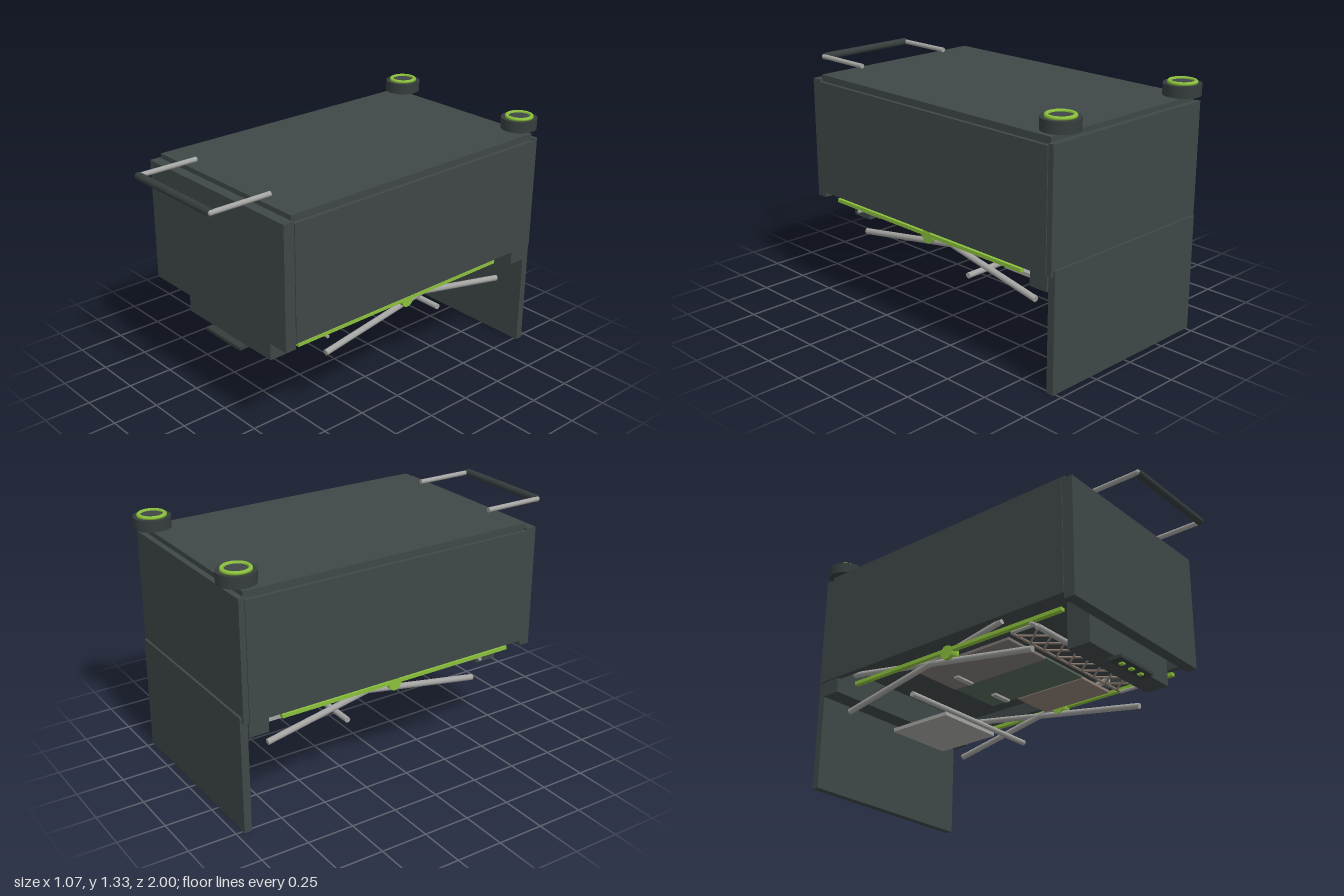
import * as THREE from 'three';

export function createModel() {
  const model = new THREE.Group();
  const paint = (name, color) => {
    const m = new THREE.MeshStandardMaterial({ color });
    m.name = name;
    return m;
  };
  const shellGrey = paint('shell dark grey', 0x3f4747);
  const darkRubber = paint('rubber dark', 0x363d3d);
  const steel = paint('steel grey', 0xa4a4a2);
  const green = paint('accent green', 0x8bc03c);
  const brown = paint('panel brown', 0x8f8076);
  const darkGreen = paint('panel dark green', 0x56655a);
  const taupe = paint('panel taupe', 0x7d7774);

  const add = (name, geometry, material, x = 0, y = 0, z = 0) => {
    const mesh = new THREE.Mesh(geometry, material);
    mesh.name = name;
    mesh.position.set(x, y, z);
    model.add(mesh);
    return mesh;
  };
  // Box given by its limits on each axis
  const block = (name, mat, x0, x1, y0, y1, z0, z1) =>
    add(name, new THREE.BoxGeometry(x1 - x0, y1 - y0, z1 - z0), mat,
      (x0 + x1) / 2, (y0 + y1) / 2, (z0 + z1) / 2);
  // Round rod between two points
  const rod = (name, mat, a, b, r, sides = 14) => {
    const p = new THREE.Vector3(...a), q = new THREE.Vector3(...b);
    const d = q.clone().sub(p);
    const mesh = add(name, new THREE.CylinderGeometry(r, r, d.length(), sides), mat);
    mesh.position.copy(p).add(q).multiplyScalar(0.5);
    mesh.quaternion.setFromUnitVectors(new THREE.Vector3(0, 1, 0), d.normalize());
    return mesh;
  };
  const ball = (name, mat, x, y, z, r) =>
    add(name, new THREE.SphereGeometry(r, 16, 10), mat, x, y, z);

  // Case: core, lid, end panels and side walls
  block('caseCore', shellGrey, -0.51, 0.51, 0.66, 1.2, -0.92, 0.7);
  block('lid', shellGrey, -0.515, 0.515, 1.2, 1.235, -0.92, 0.705);
  block('frontPanel', shellGrey, -0.53, 0.53, 0.56, 1.21, 0.7, 0.76);
  block('backPanel', shellGrey, -0.53, 0.53, 0.59, 1.21, -0.95, -0.92);
  block('backCrossbar', shellGrey, -0.525, 0.525, 0.51, 0.66, -0.92, -0.815);
  for (const s of [-1, 1]) {
    block('sideWall', shellGrey, s * 0.52 - 0.015, s * 0.52 + 0.015, 0.59, 1.2, -0.92, 0.7);
  }
  block('hangingFlap', shellGrey, -0.517, 0.517, 0, 0.62, -0.962, -0.922);

  // Lower front housing with a small step and indicator lights
  block('frontHousing', shellGrey, -0.335, 0.335, 0.413, 0.66, 0.57, 0.7);
  block('frontStep', darkRubber, -0.14, 0.14, 0.395, 0.412, 0.665, 0.74);
  for (const x of [-0.08, 0, 0.08]) {
    block('indicatorLight', green, x - 0.012, x + 0.012, 0.386, 0.395, 0.69, 0.715);
  }

  // Fan behind the housing
  add('fanRing', new THREE.TorusGeometry(0.092, 0.016, 8, 32), darkRubber, 0, 0.55, 0.54);
  add('fanHub', new THREE.CylinderGeometry(0.026, 0.026, 0.03, 16), darkRubber, 0, 0.55, 0.54)
    .rotation.x = Math.PI / 2;
  for (let i = 0; i < 6; i++) {
    const a = (i / 6) * Math.PI * 2;
    rod('fanSpoke', darkRubber, [0, 0.55, 0.54],
      [0.09 * Math.cos(a), 0.55 + 0.09 * Math.sin(a), 0.54], 0.009, 8);
  }

  // Corner wheels with rounded green rims
  const rimProfile = [[0.055, 0], [0.075, 0], [0.075, 0.009], [0.07, 0.015], [0.06, 0.015], [0.055, 0.011], [0.055, 0]]
    .map(([r, y]) => new THREE.Vector2(r, y));
  for (const s of [-1, 1]) {
    const x = s * 0.437, z = -0.905;
    add('wheel', new THREE.CylinderGeometry(0.095, 0.095, 0.058, 32), darkRubber, x, 1.281, z);
    add('wheelHub', new THREE.CylinderGeometry(0.056, 0.056, 0.006, 24), shellGrey, x, 1.313, z);
    add('wheelRim', new THREE.LatheGeometry(rimProfile, 32), green, x, 1.31, z);
  }

  // Pull handle
  for (const s of [-1, 1]) {
    rod('handleArm', steel, [s * 0.292, 1.253, 0.645], [s * 0.292, 1.253, 0.975], 0.013);
    ball('handleJoint', steel, s * 0.292, 1.253, 0.978, 0.014);
  }
  rod('handleGrip', darkRubber, [-0.292, 1.253, 0.978], [0.292, 1.253, 0.978], 0.02, 18);

  // Scissor lift on both sides, sliding on green rails
  for (const s of [-1, 1]) {
    const x = s * 0.45;
    rod('scissorArm', steel, [x, 0.41, 0.45], [x, 0.615, -0.76], 0.016);
    rod('scissorArm', steel, [x, 0.41, -0.785], [x, 0.615, 0.26], 0.016);
    block('slideRail', green, s * 0.475 - 0.013, s * 0.475 + 0.013, 0.534, 0.553, -0.72, 0.65);
    rod('pivot', green, [s * 0.43, 0.533, -0.07], [s * 0.486, 0.533, -0.07], 0.037, 20);
    rod('trayArm', steel, [s * 0.46, 0.525, 0.33], [s * 0.46, 0.525, 0.48], 0.009);
  }
  rod('upperCrossbar', steel, [-0.44, 0.527, 0.47], [0.44, 0.527, 0.47], 0.015);
  rod('upperCrossbarPin', steel, [-0.492, 0.525, 0.47], [0.492, 0.525, 0.47], 0.009);
  rod('lowerCrossbar', steel, [-0.45, 0.39, -0.33], [0.45, 0.39, -0.33], 0.015);
  block('footPlate', steel, -0.195, 0.195, 0.355, 0.375, -0.71, -0.33);

  // Underside panels
  block('leftPanel', brown, 0.18, 0.42, 0.52, 0.535, -0.15, 0.28);
  block('middlePanel', darkGreen, -0.13, 0.18, 0.525, 0.537, -0.33, 0.28);
  block('rightPanel', taupe, -0.42, -0.13, 0.52, 0.535, -0.33, 0.28);
  for (const x of [0.1, -0.2]) {
    block('panelLatch', steel, x - 0.06, x + 0.06, 0.51, 0.522, -0.22, -0.19);
  }

  // Zigzag lacing between the crossbar and the panels
  const bays = 8;
  for (let i = 0; i < bays; i++) {
    const x0 = -0.42 + (0.84 * i) / bays, x1 = x0 + 0.84 / bays;
    rod('lacing', brown, [x0, 0.525, 0.46], [x1, 0.525, 0.33], 0.006, 8);
    rod('lacing', brown, [x1, 0.525, 0.46], [x0, 0.525, 0.33], 0.006, 8);
  }
  rod('lacingRail', brown, [-0.44, 0.525, 0.33], [0.44, 0.525, 0.33], 0.007, 8);

  return model;
}
